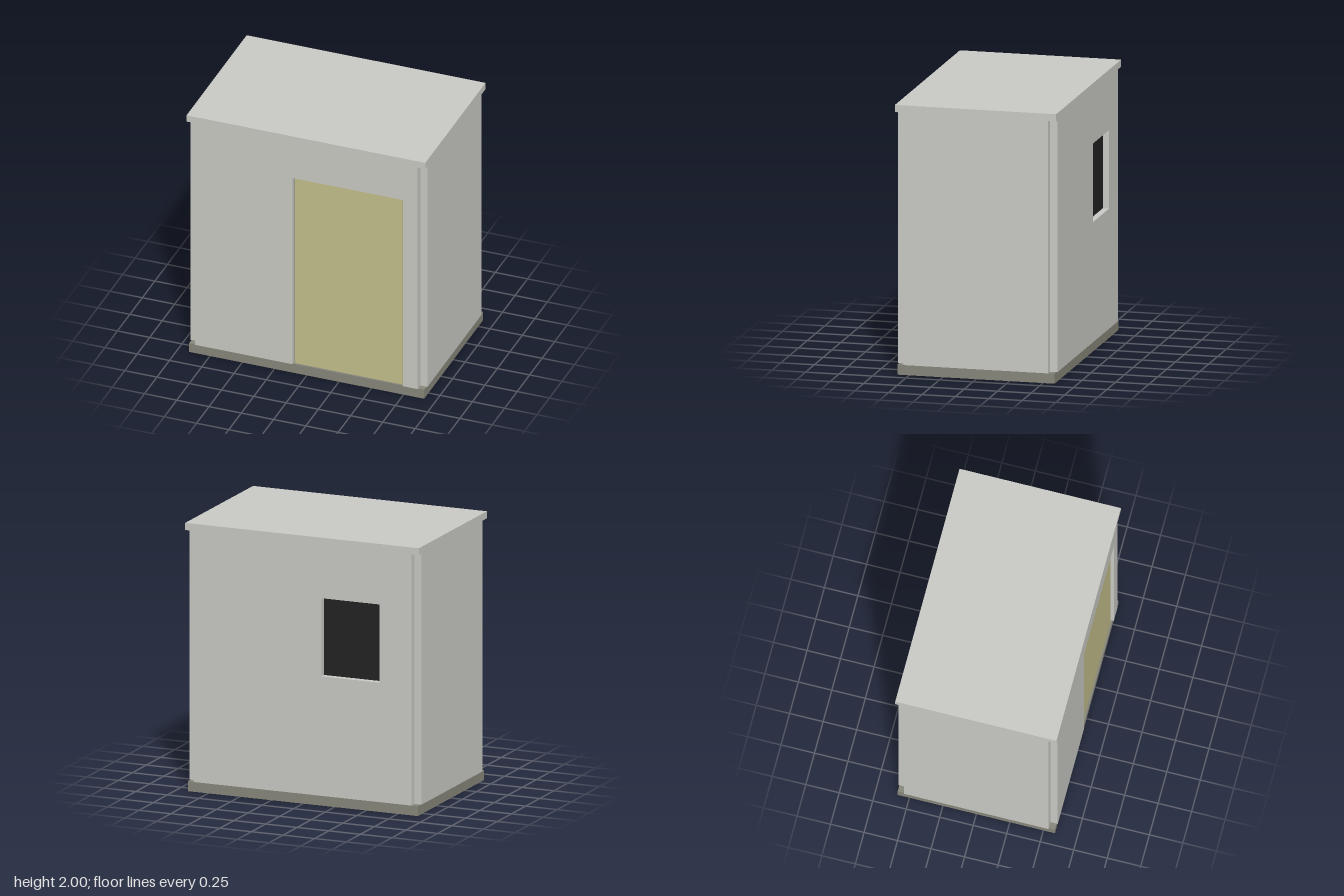
import * as THREE from 'three';

const material = (name, color) => {
  const m = new THREE.MeshStandardMaterial({ color });
  m.name = name;
  return m;
};

export function createModel() {
  const model = new THREE.Group();
  model.name = 'cabin';
  const panel = material('light grey panel', 0xc9c9c4);
  const plinth = material('olive grey base', 0x87867a);
  const doorPaint = material('khaki door', 0xc2be8a);
  const glass = material('dark glass', 0x222222);

  // Box given by its limits on each axis
  function slab(name, mat, [x0, x1], [y0, y1], [z0, z1]) {
    const mesh = new THREE.Mesh(new THREE.BoxGeometry(x1 - x0, y1 - y0, z1 - z0), mat);
    mesh.position.set((x0 + x1) / 2, (y0 + y1) / 2, (z0 + z1) / 2);
    mesh.name = name;
    model.add(mesh);
  }

  const wallY = [0.075, 1.947];
  const frontZ = [0.54, 0.595];
  const backZ = [-0.595, -0.54];

  // Base and overhanging flat roof
  slab('base', plinth, [-0.91, 0.91], [0, 0.075], [-0.587, 0.587]);
  slab('roof', panel, [-0.925, 0.925], [1.947, 2], [-0.602, 0.602]);

  // Side walls sit outside the front and back walls, leaving notched corners
  for (const [name, x] of [['leftWall', [0.862, 0.917]], ['rightWall', [-0.917, -0.862]]])
    slab(name, panel, x, wallY, [-0.54, 0.54]);

  // Front wall panels around the doorway
  slab('frontWidePanel', panel, [-0.862, -0.108], wallY, frontZ);
  slab('frontNarrowPanel', panel, [0.75, 0.862], wallY, frontZ);
  slab('doorLintel', panel, [-0.108, 0.75], [1.645, 1.947], frontZ);

  // Recessed door between two jambs
  slab('door', doorPaint, [-0.096, 0.738], [0.075, 1.645], [0.54, 0.573]);
  for (const x of [[-0.108, -0.096], [0.738, 0.75]])
    slab('doorJamb', plinth, x, [0.075, 1.645], [0.54, 0.555]);

  // Back wall panels around the window
  const windowX = [-0.61, -0.15];
  const windowY = [0.965, 1.547];
  slab('backWidePanel', panel, [windowX[1], 0.862], wallY, backZ);
  slab('backNarrowPanel', panel, [-0.862, windowX[0]], wallY, backZ);
  slab('panelBelowWindow', panel, windowX, [wallY[0], windowY[0]], backZ);
  slab('panelAboveWindow', panel, windowX, [windowY[1], wallY[1]], backZ);
  slab('windowPane', glass, windowX, windowY, [-0.548, -0.54]);

  return model;
}
